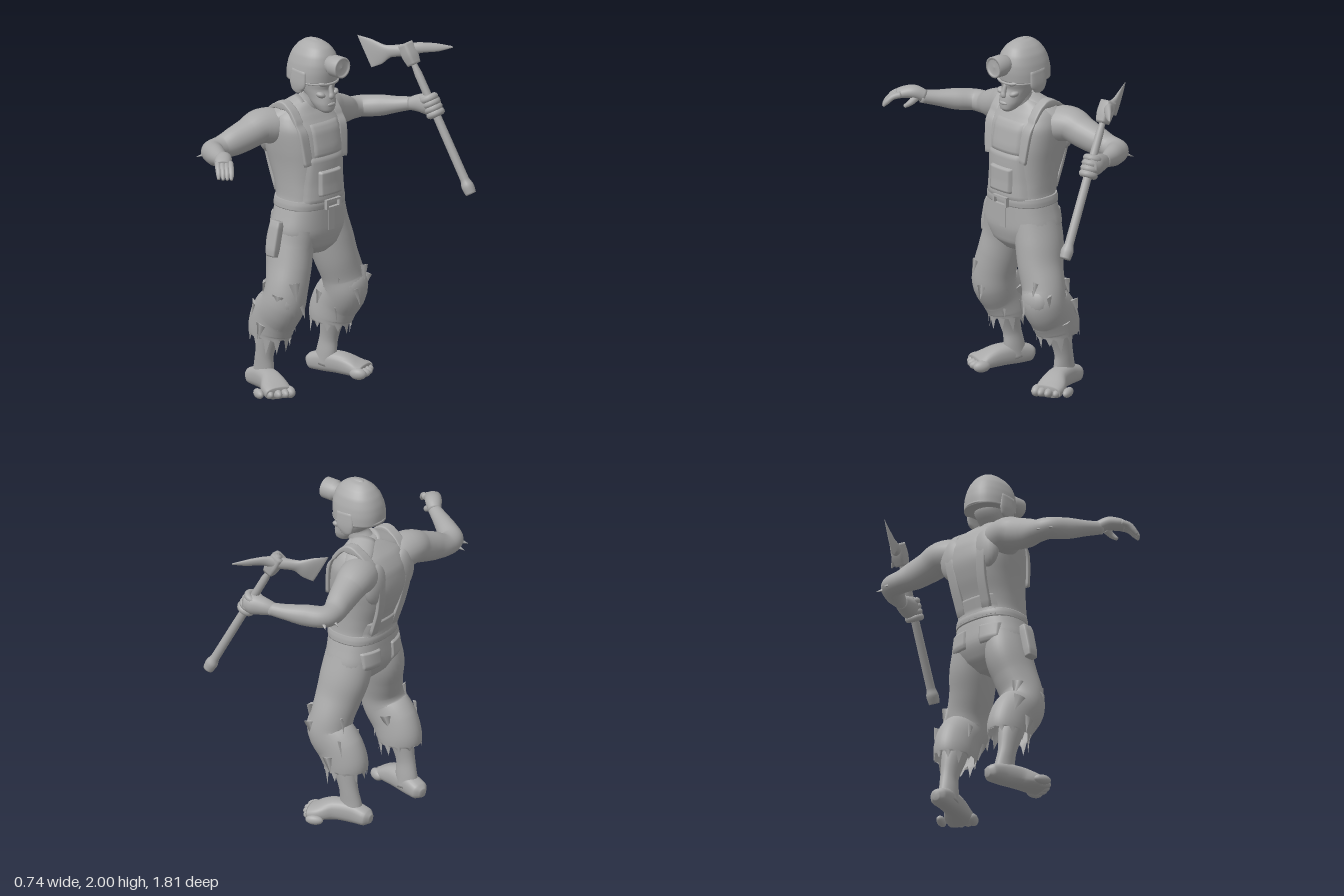
import * as THREE from 'three';

const V = (x, y, z) => new THREE.Vector3(x, y, z);
const X = V(1, 0, 0), Y = V(0, 1, 0), Z = V(0, 0, 1);
const clay = new THREE.MeshStandardMaterial({ color: 0xa9a9a9, side: THREE.DoubleSide });
clay.name = 'grey clay';

// small seeded noise in 0..1
let seed = 7;
const rnd = () => (seed = (seed * 16807) % 2147483647) / 2147483647;

// Skin a tube through rows [x, y, z, a, b]: a is half size along ref x path, b the other way.
function loft(rows, { ref = Y, t: fixed, n = 2, seg = 24, steps = 5, jag = 0, cap = true } = {}) {
  const path = new THREE.CatmullRomCurve3(rows.map(r => V(r[0], r[1], r[2])));
  const size = new THREE.CatmullRomCurve3(rows.map(r => V(r[3], r[4], 0)));
  const count = (rows.length - 1) * steps, pos = [], idx = [];
  const bend = c => Math.sign(c) * Math.pow(Math.abs(c), 2 / n);
  for (let i = 0; i <= count; i++) {
    const k = i / count, c = path.getPoint(k), s = size.getPoint(k);
    const t = fixed || path.getTangent(k);
    const u = ref.clone().cross(t).normalize(), v = t.clone().cross(u);
    for (let j = 0; j < seg; j++) {
      const w = j / seg * Math.PI * 2;
      const p = c.clone().addScaledVector(u, Math.max(s.x, 0.002) * bend(Math.cos(w)))
        .addScaledVector(v, Math.max(s.y, 0.002) * bend(Math.sin(w)));
      if (jag && i === count) p.addScaledVector(t, jag * (j % 3 ? -rnd() * 0.5 : rnd()));
      pos.push(p.x, p.y, p.z);
    }
  }
  for (let i = 0; i < count; i++) for (let j = 0; j < seg; j++) {
    const a = i * seg + j, b = i * seg + (j + 1) % seg;
    idx.push(a, b, a + seg, b, b + seg, a + seg);
  }
  if (cap) for (const [k, base] of [[0, 0], [1, count * seg]]) {
    const c = path.getPoint(k), m = pos.length / 3;
    pos.push(c.x, c.y, c.z);
    for (let j = 0; j < seg; j++) {
      const a = base + j, b = base + (j + 1) % seg;
      k ? idx.push(m, a, b) : idx.push(m, b, a);
    }
  }
  const g = new THREE.BufferGeometry();
  g.setAttribute('position', new THREE.Float32BufferAttribute(pos, 3));
  g.setIndex(idx);
  g.computeVertexNormals();
  return g;
}

// Body outline: height, half width, back, front
const BODY = [[0.79, 0.07, -0.16, 0], [0.84, 0.18, -0.22, 0.04], [0.93, 0.235, -0.26, 0.06], [1.03, 0.21, -0.255, 0.06],
  [1.12, 0.187, -0.25, 0.06], [1.2, 0.187, -0.27, 0.055], [1.3, 0.195, -0.31, 0.055], [1.4, 0.21, -0.335, 0.05],
  [1.5, 0.22, -0.325, 0.03], [1.58, 0.195, -0.28, -0.015], [1.63, 0.13, -0.22, -0.045], [1.66, 0.06, -0.18, -0.06]];
const stack = rows => rows.map(([y, w, b, f, x = 0]) => [x, y, (b + f) / 2, (f - b) / 2, w]);

// depth of the body surface at a place, s = 1 front, -1 back
function bodyZ(x, y, s) {
  let i = 0;
  while (i < BODY.length - 2 && BODY[i + 1][0] < y) i++;
  const k = (y - BODY[i][0]) / (BODY[i + 1][0] - BODY[i][0]);
  const [, w, b, f] = BODY[i].map((q, m) => q + (BODY[i + 1][m] - q) * k);
  const r = Math.max(0, 1 - Math.pow(Math.abs(x / w), 2.5));
  return (b + f) / 2 + s * (f - b) / 2 * Math.pow(r, 0.4);
}

// cloth panel lying on the body, its rim tucked in
function panel(width, y0, y1, lift, s = 1, cx = 0) {
  const N = 14, g = new THREE.PlaneGeometry(2, 1, N, N), p = g.attributes.position;
  for (let i = 0; i < p.count; i++) {
    const k = p.getY(i) + 0.5, y = y0 + (y1 - y0) * k, x = cx + s * p.getX(i) * width(k);
    const rim = Math.abs(p.getX(i)) > 0.99 || k < 0.01 || k > 0.99;
    p.setXYZ(i, x, y, bodyZ(x, y, s) + s * (rim ? -0.01 : lift));
  }
  g.computeVertexNormals();
  return g;
}

export function createModel() {
  const root = new THREE.Group(), man = new THREE.Group();
  root.name = 'miner';
  man.name = 'figure';
  man.rotation.y = Math.PI / 2;
  root.add(man);
  const add = (name, geo, p = [0, 0, 0], s = [1, 1, 1], r = [0, 0, 0]) => {
    const m = new THREE.Mesh(geo, clay);
    m.name = name;
    m.position.set(...p);
    m.scale.set(...s);
    m.rotation.set(...r);
    man.add(m);
    return m;
  };
  const ball = (name, p, s, r) => add(name, new THREE.SphereGeometry(1, 20, 14), p, s, r);
  const box = (name, p, s, r) => add(name, new THREE.BoxGeometry(1, 1, 1), p, s, r);

  // Torso and overalls
  add('torso', loft(stack(BODY), { ref: X, t: Y, n: 2.5, seg: 40 }));
  add('bib', panel(k => 0.178 - 0.04 * k, 1.08, 1.37, 0.008));
  add('chestPanel', panel(() => 0.118, 1.35, 1.55, 0.006, 1, 0.01));
  add('bibPocket', panel(() => 0.088, 1.13, 1.285, 0.025));
  add('backPanel', panel(k => 0.17 - 0.03 * k, 1.06, 1.2, 0.008, -1));
  add('belt', loft(stack([[1.06, 0.202, -0.26, 0.064], [1.085, 0.2, -0.262, 0.068], [1.11, 0.194, -0.257, 0.066]]),
    { ref: X, t: Y, n: 2.5, seg: 40 }));
  for (const s of [-1, 1]) {
    box('buckleSide', [0.01 + s * 0.048, 1.085, 0.075], [0.014, 0.055, 0.022]);
    box('buckleBar', [0.01, 1.085 + s * 0.022, 0.075], [0.1, 0.012, 0.022]);
    add('backPocket', panel(() => 0.065, 0.9, 1.02, 0.012, -1, s * 0.11));
    ball('shoulderBlade', [s * 0.12, 1.45, -0.28], [0.085, 0.12, 0.05]);
    // Trapezius from the neck to the shoulder
    add('trapezius', loft([[s * 0.03, 1.64, -0.13, 0.07, 0.04], [s * 0.12, 1.59, -0.17, 0.08, 0.045],
      [s * 0.22, 1.54, -0.21, 0.05, 0.03]]));
    // Strap over the shoulder
    const at = (x, y, f) => [s * x, y, bodyZ(x, y, f) + f * 0.003, 0.012, 0.03];
    add('strap', loft([at(0.13, 1.32, 1), at(0.142, 1.42, 1), at(0.15, 1.5, 1), at(0.15, 1.56, 1),
      [s * 0.15, 1.63, -0.1, 0.014, 0.03], [s * 0.15, 1.63, -0.19, 0.014, 0.03],
      at(0.14, 1.56, -1), at(0.12, 1.45, -1), at(0.1, 1.3, -1), at(0.09, 1.12, -1)], { ref: X, n: 5 }));
  }
  box('trouserFly', [0.01, 0.99, 0.055], [0.045, 0.12, 0.016]);
  add('hipToolCase', loft([[-0.247, 1.0, -0.1, 0.034, 0.02], [-0.256, 0.96, -0.1, 0.038, 0.026], [-0.28, 0.85, -0.1, 0.037, 0.026],
    [-0.288, 0.805, -0.1, 0.033, 0.02]], { ref: X, n: 5 }));

  // Legs, torn trousers and bare feet
  for (const s of [-1, 1]) {
    const dx = s > 0 ? 0.018 : -0.003;
    const dz = y => s < 0 ? 0 : y > 0.55 ? 0.02 : 0.04;
    const P = (x, y, z, a, b) => [s * x + (y < 0.65 ? dx : dx / 2), y, z + dz(y), a, b];
    add('trouserLeg', loft([[s * 0.115, 0.95, -0.1, 0.145, 0.115], P(0.135, 0.84, -0.11, 0.145, 0.12),
      P(0.165, 0.72, -0.09, 0.132, 0.118), P(0.198, 0.6, -0.075, 0.12, 0.118), P(0.21, 0.52, -0.09, 0.13, 0.118),
      P(0.208, 0.44, -0.155, 0.142, 0.11), P(0.204, 0.36, -0.19, 0.138, 0.108), P(0.204, 0.31, -0.195, 0.128, 0.104)],
      { ref: X, seg: 36, jag: 0.08, cap: false }));
    ball('kneePad', P(0.212, 0.545, -0.02).slice(0, 3), [0.09, 0.09, 0.06]);
    add('shin', loft([P(0.212, 0.46, -0.14, 0.08, 0.07), P(0.215, 0.34, -0.19, 0.075, 0.062),
      P(0.218, 0.2, -0.225, 0.057, 0.045), P(0.212, 0.12, -0.235, 0.066, 0.046), P(0.21, 0.05, -0.245, 0.07, 0.05)], { ref: X }));
    add('foot', loft([P(0.195, 0.045, -0.365, 0.02, 0.025), P(0.2, 0.05, -0.335, 0.05, 0.046), P(0.215, 0.064, -0.25, 0.054, 0.06),
      P(0.245, 0.066, -0.15, 0.062, 0.06), P(0.285, 0.046, -0.07, 0.082, 0.044), P(0.3, 0.036, -0.025, 0.078, 0.034)], { n: 2.5 }));
    for (let i = 0; i < 5; i++)
      ball('toe', P(0.234 + i * 0.036, 0.033, -0.014 - i * i * 0.006).slice(0, 3),
        [i ? 0.024 : 0.03, i ? 0.027 : 0.033, 0.05], [0, s * 0.4, 0]);
    // Loose rags around knee and calf
    for (let i = 0; i < 12; i++) {
      const w = i * 2.4, y = 0.36 + 0.28 * (i / 12), z = y < 0.5 ? -0.165 : -0.08;
      add('rag', new THREE.ConeGeometry(0.034, 0.1, 4), P(0.21 + Math.cos(w) * 0.108, y, z + Math.sin(w) * 0.126).slice(0, 3),
        [1, 1, 0.25], [Math.PI - Math.sin(w) * 0.25, Math.PI / 2 - w, Math.cos(w) * 0.25]);
    }
  }

  // Arms, the same on both sides up to the wrist
  for (const s of [-1, 1]) {
    add('arm', loft([[0.1, 1.49, -0.18, 0.1, 0.09], [0.18, 1.51, -0.215, 0.11, 0.1], [0.25, 1.515, -0.235, 0.103, 0.094],
      [0.32, 1.49, -0.245, 0.088, 0.088], [0.42, 1.458, -0.265, 0.074, 0.08], [0.5, 1.438, -0.285, 0.064, 0.063],
      [0.57, 1.437, -0.275, 0.064, 0.06], [0.63, 1.445, -0.195, 0.058, 0.06], [0.69, 1.46, -0.1, 0.045, 0.044],
      [0.735, 1.475, -0.02, 0.034, 0.035]].map(r => [s * r[0], ...r.slice(1)])));
    for (let i = 0; i < 2; i++)
      add('elbowRag', new THREE.ConeGeometry(0.035, 0.1, 6), [s * (0.55 + i * 0.06), 1.42, -0.325 + i * 0.025],
        [1, 1, 0.6], [-2, 0, -s * (0.3 + i * 0.3)]);
  }

  // Open right hand with drooping fingers
  add('rightPalm', loft([[-0.72, 1.475, -0.04, 0.034, 0.034], [-0.765, 1.5, 0.005, 0.046, 0.038],
    [-0.81, 1.495, 0.045, 0.046, 0.032], [-0.83, 1.488, 0.065, 0.038, 0.026]]));
  for (let i = 0; i < 4; i++) {
    const ox = -0.854 + i * 0.016, oz = 0.045 + i * 0.016, f = i === 0 ? 0.85 : 1;
    add('rightFinger', loft([[ox + 0.02, 1.495, oz - 0.015, 0.018, 0.019], [ox - 0.01 * f, 1.482, oz + 0.02 * f, 0.017, 0.017],
      [ox - 0.03 * f, 1.455, oz + 0.045 * f, 0.015, 0.015], [ox - 0.045 * f, 1.43, oz + 0.06 * f, 0.008, 0.008]], { seg: 10 }));
  }
  add('rightThumb', loft([[-0.745, 1.475, 0, 0.024, 0.024], [-0.75, 1.45, 0.04, 0.018, 0.018],
    [-0.775, 1.425, 0.065, 0.01, 0.01]], { seg: 10 }));

  // Pick axe in the left hand
  const top = V(0.715, 1.81, -0.075), end = V(0.812, 1.015, 0.342), shaft = top.clone().sub(end).normalize();
  const across = V(-0.58, 0, -0.81).projectOnPlane(shaft).normalize();
  const on = (k, r) => [...top.clone().lerp(end, k).toArray(), r, r];
  add('axeHandle', loft([on(0, 0.022), on(0.2, 0.022), on(0.6, 0.024), on(0.9, 0.025), on(0.95, 0.035), on(1, 0.03)],
    { ref: X, seg: 16 }));
  add('axeSocket', loft([on(0, 0.036), on(0.07, 0.04), on(0.14, 0.032)], { ref: X, n: 4, seg: 20 }));
  add('axeHead', loft([[0.91, 1.785, 0.1, 0.003, 0.005], [0.84, 1.785, 0.04, 0.014, 0.026], [0.77, 1.785, -0.02, 0.02, 0.032],
    [0.72, 1.77, -0.075, 0.03, 0.036], [0.67, 1.758, -0.15, 0.02, 0.036], [0.635, 1.75, -0.215, 0.013, 0.075],
    [0.6, 1.745, -0.275, 0.004, 0.098]], { ref: shaft, t: across }));
  add('leftPalm', loft([[0.72, 1.47, -0.04, 0.036, 0.036], [0.74, 1.48, 0.01, 0.046, 0.05],
    [0.756, 1.485, 0.07, 0.056, 0.062], [0.77, 1.485, 0.12, 0.042, 0.05]]));
  for (let i = 0; i < 4; i++) {
    const m = add('leftFinger', new THREE.TorusGeometry(0.033, 0.021, 10, 20),
      top.clone().lerp(end, 0.365 + i * 0.033).toArray());
    m.quaternion.setFromUnitVectors(Z, shaft);
  }
  ball('leftThumb', [0.725, 1.515, 0.07], [0.02, 0.025, 0.045]);

  // Neck and gaunt face
  add('neck', loft([[0, 1.56, -0.15, 0.1, 0.11], [0.005, 1.62, -0.1, 0.07, 0.07], [0.01, 1.68, -0.07, 0.06, 0.06],
    [0.012, 1.76, -0.07, 0.065, 0.065]], { ref: X }));
  add('head', loft(stack([[1.6, 0.025, 0, 0.05, 0.012], [1.615, 0.045, -0.03, 0.064, 0.012], [1.65, 0.062, -0.07, 0.066, 0.014],
    [1.69, 0.07, -0.12, 0.06, 0.016], [1.73, 0.08, -0.16, 0.046, 0.018], [1.77, 0.088, -0.18, 0.055, 0.02],
    [1.82, 0.09, -0.18, 0.035, 0.02]]), { ref: X, t: Y, n: 2.3 }));
  add('nose', loft([[0.018, 1.755, 0.045, 0.012, 0.012], [0.016, 1.715, 0.056, 0.014, 0.013], [0.015, 1.695, 0.06, 0.016, 0.018],
    [0.015, 1.683, 0.054, 0.01, 0.014]], { ref: X, seg: 12 }));
  ball('lips', [0.014, 1.65, 0.058], [0.03, 0.012, 0.014]);
  for (const s of [-1, 1]) {
    ball('cheekbone', [0.016 + s * 0.05, 1.705, 0.025], [0.026, 0.017, 0.028], [0, 0, s * 0.4]);
    ball('brow', [0.018 + s * 0.038, 1.765, 0.034], [0.04, 0.014, 0.02], [0, 0, s * 0.25]);
  }

  // Helmet with lamp, brim and ear flaps
  add('helmetDome', loft(stack([[1.77, 0.128, -0.24, 0.054, 0.02], [1.82, 0.127, -0.24, 0.06, 0.02],
    [1.87, 0.119, -0.232, 0.06, 0.02], [1.92, 0.102, -0.212, 0.046, 0.02], [1.96, 0.074, -0.182, 0.018, 0.02],
    [1.988, 0.038, -0.14, -0.03, 0.02], [1.997, 0.004, -0.09, -0.08, 0.02]]), { ref: X, t: Y, n: 2.25, seg: 36 }));
  add('helmetRim', new THREE.TorusGeometry(1, 0.05, 8, 40), [0.02, 1.775, -0.09], [0.126, 0.148, 0.14], [Math.PI / 2 + 0.05, 0, 0]);
  ball('helmetRidge', [0.02, 1.965, -0.06], [0.03, 0.03, 0.07], [0.3, 0, 0]);
  for (const s of [-1, 1])
    add('earFlap', loft([[0.02 + s * 0.118, 1.84, -0.08, 0.05, 0.01], [0.02 + s * 0.122, 1.77, -0.085, 0.058, 0.013],
      [0.02 + s * 0.12, 1.735, -0.085, 0.048, 0.013], [0.02 + s * 0.116, 1.712, -0.08, 0.024, 0.01]], { ref: X, n: 2.5 }));
  const lampProfile = [[0, -0.06], [0.05, -0.06], [0.05, 0.0], [0.06, 0.01], [0.06, 0.075], [0.048, 0.075], [0.046, 0.062], [0, 0.07]];
  const lamp = new THREE.LatheGeometry(lampProfile.map(([r, y]) => new THREE.Vector2(r, y)), 28);
  add('helmetLamp', lamp, [0.02, 1.875, 0.065], [1, 1, 1], [Math.PI / 2, 0, 0]);
  return root;
}
